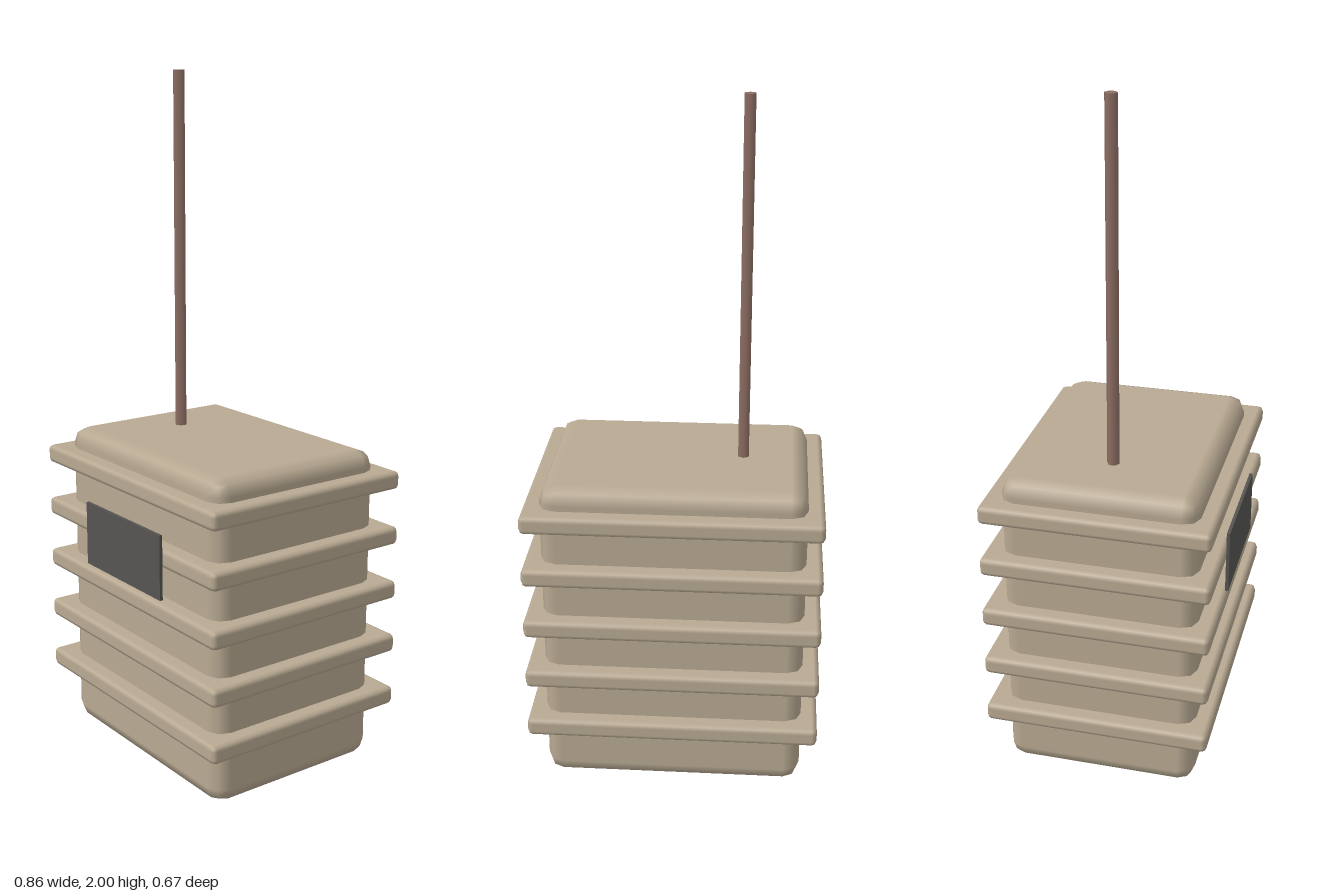
import * as THREE from 'three';

const tan = new THREE.MeshStandardMaterial({ color: 0xb8a992 });
tan.name = 'tan casing';
const brown = new THREE.MeshStandardMaterial({ color: 0x8d6e63 });
brown.name = 'brown rod';
const grey = new THREE.MeshStandardMaterial({ color: 0x555452 });
grey.name = 'dark grey plate';

// Box whose edges are rounded in two smooth facets of radius r
function softBox(w, h, d, r) {
  const geo = new THREE.BoxGeometry(1, 1, 1, 3, 3, 3);
  const pos = geo.attributes.position;
  const p = new THREE.Vector3();
  const n = new THREE.Vector3();
  const snap = (v) => (Math.abs(v) > 0.4 ? Math.sign(v) : 0);
  for (let i = 0; i < pos.count; i++) {
    p.fromBufferAttribute(pos, i);
    n.set(snap(p.x), snap(p.y), snap(p.z)).normalize();
    pos.setXYZ(
      i,
      Math.sign(p.x) * (w / 2 - r) + n.x * r,
      Math.sign(p.y) * (h / 2 - r) + n.y * r,
      Math.sign(p.z) * (d / 2 - r) + n.z * r
    );
    geo.attributes.normal.setXYZ(i, n.x, n.y, n.z);
  }
  return geo;
}

export function createModel() {
  const model = new THREE.Group();
  model.name = 'ribbedCase';
  const zMid = -0.005;

  const add = (name, geo, mat, x, y, z) => {
    const mesh = new THREE.Mesh(geo, mat);
    mesh.name = name;
    mesh.position.set(x, y, z);
    model.add(mesh);
  };

  // Casing
  add('body', softBox(0.76, 0.95, 0.57, 0.0475), tan, 0, 0.475, zMid);

  // Five protruding ribs around the casing
  const ribGeo = softBox(0.855, 0.055, 0.665, 0.015);
  for (let i = 0; i < 5; i++) {
    add('rib' + (i + 1), ribGeo, tan, 0, 0.194 + i * 0.1667, zMid);
  }

  // Thin front plate
  add('frontPlate', new THREE.BoxGeometry(0.38, 0.19, 0.0095), grey, 0, 0.67, 0.332);

  // Six-sided rod, set slightly into the lid
  add('rod', new THREE.CylinderGeometry(0.018, 0.018, 1.1, 6), brown, -0.19, 1.45, zMid);

  return model;
}
